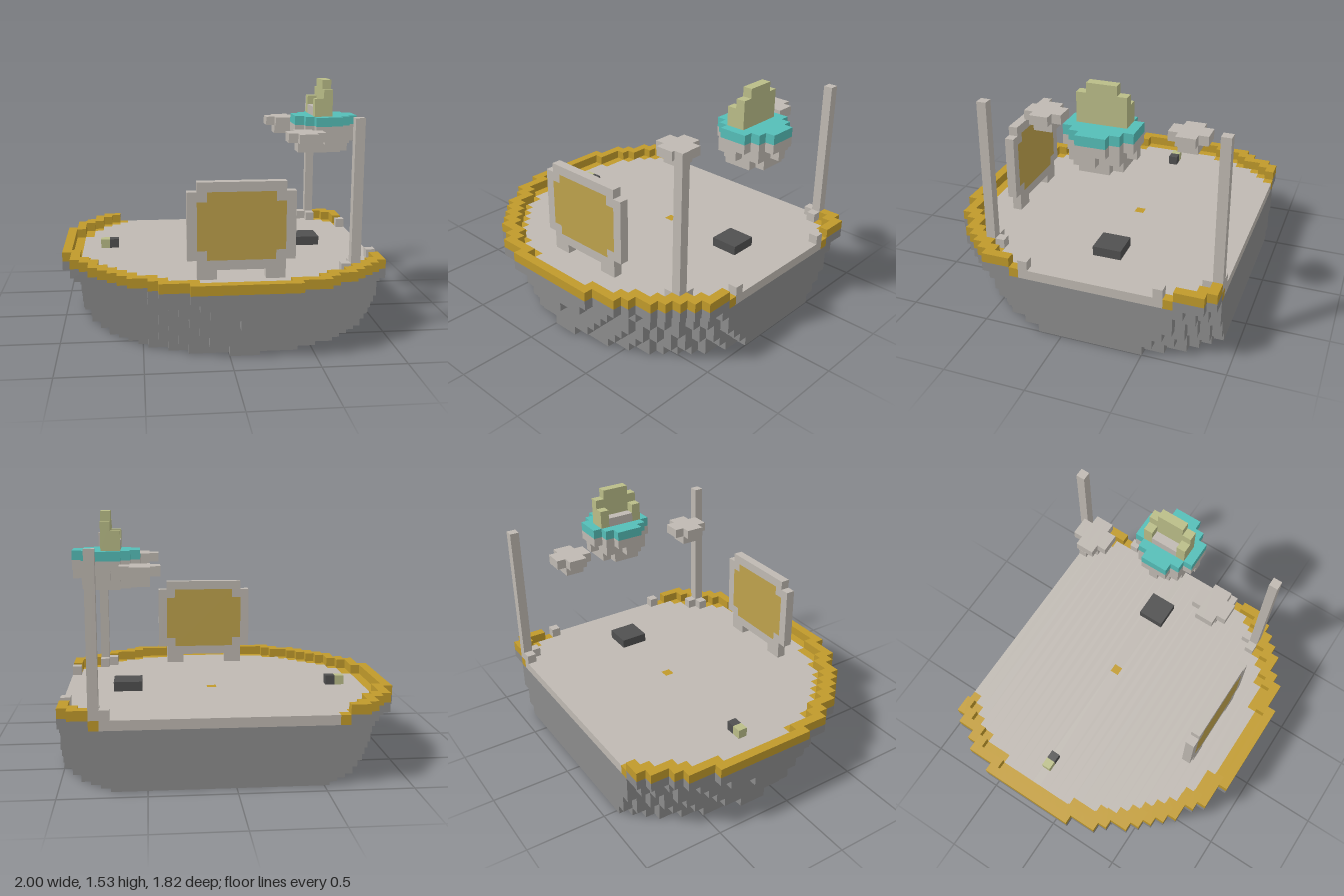
import * as THREE from 'three';
import { mergeGeometries } from 'three/addons/utils/BufferGeometryUtils.js';

// Block grid: 34 wide (x), 31 deep (z); every part is made of cube cells
const U = 2 / 34, NX = 34, NZ = 31, CX = 18, CZ = 12;

function material(name, color) {
  const m = new THREE.MeshStandardMaterial({ color });
  m.name = name;
  return m;
}

// Box spanning cells i0..i1, j0..j1, k0..k1 inclusive
function block(i0, i1, j0, j1, k0, k1) {
  const g = new THREE.BoxGeometry((i1 - i0 + 1) * U, (j1 - j0 + 1) * U, (k1 - k0 + 1) * U);
  return g.translate(((i0 + i1 + 1) / 2) * U - 1, ((j0 + j1 + 1) / 2) * U, ((k0 + k1 + 1) / 2 - NZ / 2) * U);
}

// One layer of cells whose squared distance from (ci, ck) lies in (min, max], as row runs
function disc(j, min, max, ci = CX, ck = CZ, skip = () => false) {
  const out = [];
  for (let k = 0; k < NZ; k++) {
    let start = -1;
    for (let i = 0; i <= NX; i++) {
      const d = (i - ci) ** 2 + (k - ck) ** 2;
      const filled = i < NX && d > min && d <= max && !skip(i, k);
      if (filled && start < 0) start = i;
      if (!filled && start >= 0) {
        out.push(block(start, i - 1, j, j, k, k));
        start = -1;
      }
    }
  }
  return out;
}

export function createModel() {
  const model = new THREE.Group();
  model.name = 'floatingArena';
  const stone = material('hullGrey', 0x8c8c8c);
  const pale = material('paleStone', 0xbfb9b2);
  const gold = material('gold', 0xc09a2b);
  const screenGold = material('screenGold', 0xbea24c);
  const dark = material('darkGrey', 0x505050);
  const teal = material('teal', 0x55beb8);
  const green = material('paleGreen', 0xbabd88);

  const add = (name, mat, parts, parent = model) => {
    const mesh = new THREE.Mesh(mergeGeometries(parts), mat);
    mesh.name = name;
    parent.add(mesh);
  };
  const group = (name) => {
    const g = new THREE.Group();
    g.name = name;
    model.add(g);
    return g;
  };

  // Hull: stepped discs widening upwards, clipped at the right and back
  const hull = [];
  for (let j = 0; j < 6; j++) hull.push(...disc(j, -1, (16.1 + 0.3 * j) ** 2));
  hull.push(...disc(6, 305.5, 354));
  add('hull', stone, hull);

  // Deck with gold border, centre mark and raised rim
  const isCentre = (i, k) => i === CX && k === CZ;
  add('deck', pale, disc(6, -1, 277, CX, CZ, isCentre));
  add('deckBorder', gold, disc(6, 277, 305.5));
  add('centreMark', gold, [block(CX, CX, 6, 6, CZ, CZ)]);
  add('rim', gold, disc(7, 305.5, 354));

  // Masts with small footings, and low posts along the open edge
  const masts = [], posts = [];
  for (const s of [-1, 1]) {
    const k = CZ + 12 * s;
    masts.push(block(30, 30, 7, 22, k, k), block(29, 29, 7, 7, k, k), block(30, 30, 7, 7, k - s, k - s));
    posts.push(block(33, 33, 7, 7, CZ + 7 * s, CZ + 7 * s));
  }
  add('masts', pale, masts);
  add('edgePosts', pale, posts);

  // Standing screen: pale frame around a gold panel
  const screen = group('screen');
  add('screenFrame', pale, [
    block(14, 22, 16, 16, 25, 25), block(14, 22, 8, 8, 25, 25),
    ...[13, 23].map((i) => block(i, i, 9, 15, 25, 25)),
    ...[14, 22].flatMap((i) => [9, 15].map((j) => block(i, i, j, j, 25, 25))),
    block(14, 15, 7, 7, 25, 25), block(21, 22, 7, 7, 25, 25),
  ], screen);
  add('screenPanel', screenGold, [
    block(15, 21, 9, 15, 25, 25), block(14, 14, 10, 14, 25, 25), block(22, 22, 10, 14, 25, 25),
  ], screen);

  // Small items on the deck
  add('platform', dark, [block(26, 28, 7, 7, 11, 13)]);
  add('smallDarkBlock', dark, [block(5, 5, 7, 7, 12, 12)]);
  add('smallGreenBlock', green, [block(4, 4, 7, 7, 12, 12)]);

  // Main floating island with its throne
  const island = group('mainIsland');
  add('islandTop', teal, disc(21, -1, 10, 29, CZ), island);
  add('islandBase', pale, [
    ...disc(20, -1, 10, 29, CZ), ...disc(19, -1, 9, 29, CZ), ...disc(18, -1, 5, 29, CZ),
  ], island);
  add('throne', green, [
    block(29, 29, 22, 24, 10, 14), block(29, 29, 25, 25, 11, 13),
    block(28, 28, 22, 23, 10, 10), block(28, 28, 22, 23, 14, 14),
  ], island);
  add('throneSeat', pale, [block(28, 28, 22, 22, 11, 13)], island);

  // Two small floating islands
  const islets = [];
  for (const k of [3, 18]) {
    islets.push(...disc(20, -1, 3, 25.5, k + 1.5), block(25, 26, 19, 19, k + 1, k + 2));
  }
  add('smallIslands', pale, islets);

  return model;
}
